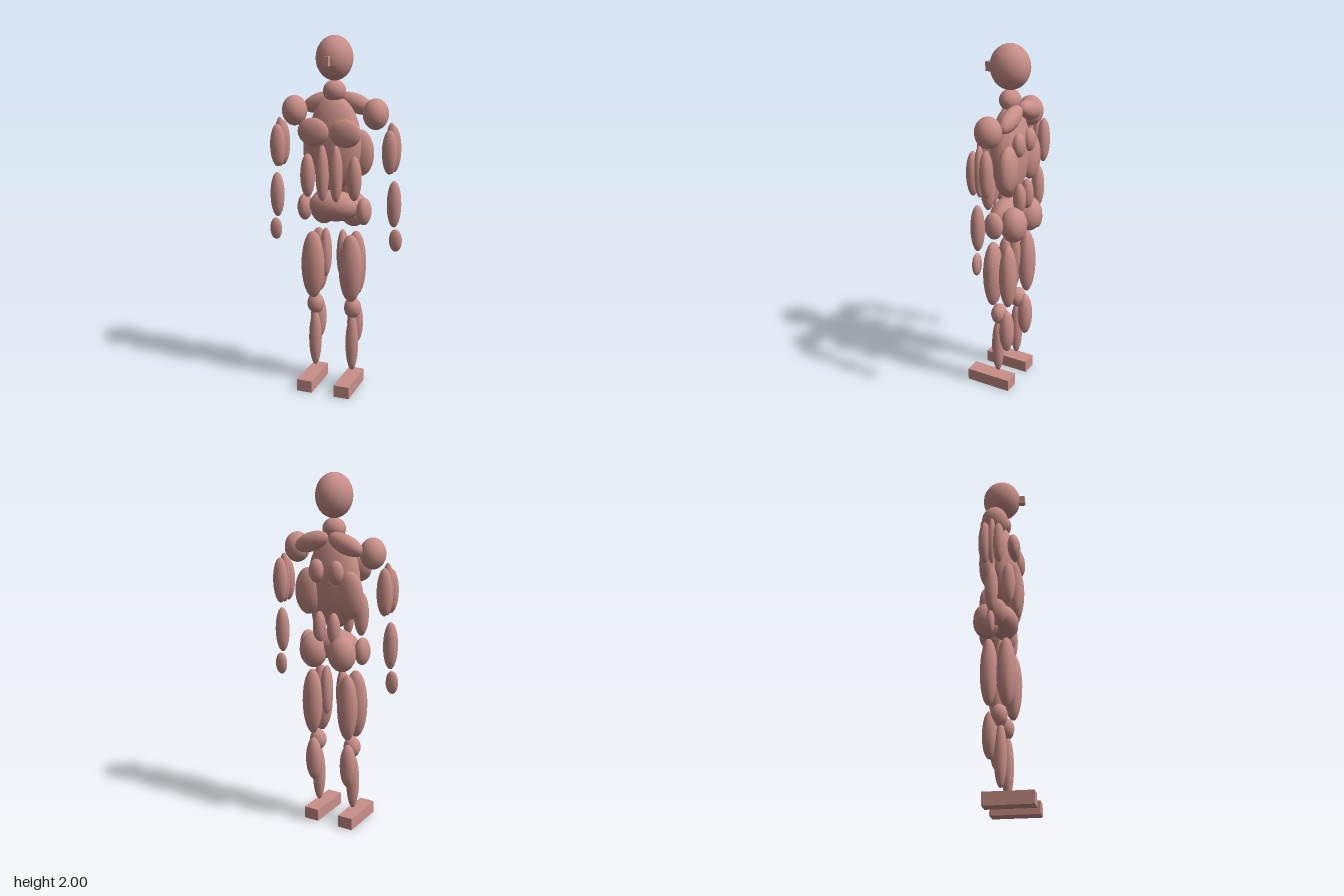
import * as THREE from 'three';

export function createModel() {
  const model = new THREE.Group();
  model.name = 'muscleFigure';
  const skin = new THREE.MeshStandardMaterial({ color: 0xc98f88 });
  skin.name = 'skin';

  const round = new THREE.SphereGeometry(1, 16, 14);
  const muscle = new THREE.SphereGeometry(1, 12, 12);
  const block = new THREE.BoxGeometry(1, 1, 1);

  // Adds one scaled part, with an optional tilt about z
  function add(name, geometry, position, size, tilt = 0) {
    const mesh = new THREE.Mesh(geometry, skin);
    mesh.name = name;
    mesh.position.set(...position);
    mesh.scale.set(...size);
    mesh.rotation.z = tilt;
    model.add(mesh);
  }

  // Adds a part on both sides of the body
  function pair(name, geometry, [x, y, z], size, tilt = 0) {
    add('left' + name, geometry, [x, y, z], size, tilt);
    add('right' + name, geometry, [-x, y, z], size, -tilt);
  }

  // Head, neck and trunk core
  add('head', round, [0, 1.88, -0.025], [0.1, 0.12, 0.11]);
  add('nose', block, [0, 1.87, 0.095], [0.03, 0.05, 0.04]);
  add('neck', muscle, [0, 1.705, -0.025], [0.065, 0.06, 0.057]);
  add('ribcage', round, [0, 1.42, -0.025], [0.155, 0.26, 0.09]);
  add('pelvis', muscle, [0, 1.068, -0.02], [0.15, 0.087, 0.09]);

  // Chest and belly
  pair('Pectoral', muscle, [0.092, 1.49, 0.062], [0.09, 0.077, 0.036]);
  pair('Abdominal', muscle, [0.04, 1.265, 0.06], [0.037, 0.157, 0.04]);
  pair('Oblique', muscle, [0.136, 1.242, 0.035], [0.042, 0.123, 0.04]);

  // Back and hips
  pair('Trapezius', muscle, [0.105, 1.635, -0.085], [0.11, 0.052, 0.045], -0.35);
  pair('Lat', muscle, [0.13, 1.365, -0.083], [0.08, 0.13, 0.048]);
  pair('Rhomboid', muscle, [0.06, 1.485, -0.11], [0.045, 0.065, 0.035]);
  pair('LowerBack', muscle, [0.045, 1.178, -0.108], [0.036, 0.088, 0.036]);
  pair('Glute', muscle, [0.09, 1.04, -0.096], [0.08, 0.1, 0.074]);
  pair('Hip', muscle, [0.175, 1.05, -0.02], [0.041, 0.077, 0.055]);

  // Arms
  pair('Shoulder', round, [0.235, 1.59, -0.025], [0.07, 0.084, 0.073]);
  pair('Humerus', muscle, [0.325, 1.41, -0.025], [0.034, 0.14, 0.025]);
  pair('Biceps', muscle, [0.326, 1.395, 0.012], [0.043, 0.12, 0.034]);
  pair('Triceps', muscle, [0.326, 1.4, -0.064], [0.043, 0.128, 0.035]);
  pair('Forearm', muscle, [0.346, 1.105, -0.022], [0.041, 0.13, 0.037]);
  pair('Hand', muscle, [0.358, 0.902, -0.022], [0.037, 0.064, 0.022]);

  // Legs
  pair('Quadriceps', muscle, [0.113, 0.723, 0.02], [0.07, 0.198, 0.053]);
  pair('Hamstring', muscle, [0.113, 0.728, -0.075], [0.06, 0.192, 0.048]);
  pair('Adductor', muscle, [0.051, 0.792, -0.022], [0.034, 0.145, 0.042]);
  pair('Knee', muscle, [0.113, 0.478, -0.018], [0.05, 0.061, 0.046]);
  pair('Shin', muscle, [0.113, 0.265, -0.01], [0.038, 0.17, 0.035]);
  pair('Calf', muscle, [0.113, 0.375, -0.066], [0.048, 0.13, 0.042]);
  pair('Foot', block, [0.1125, 0.035, 0.035], [0.09, 0.07, 0.268]);

  return model;
}
